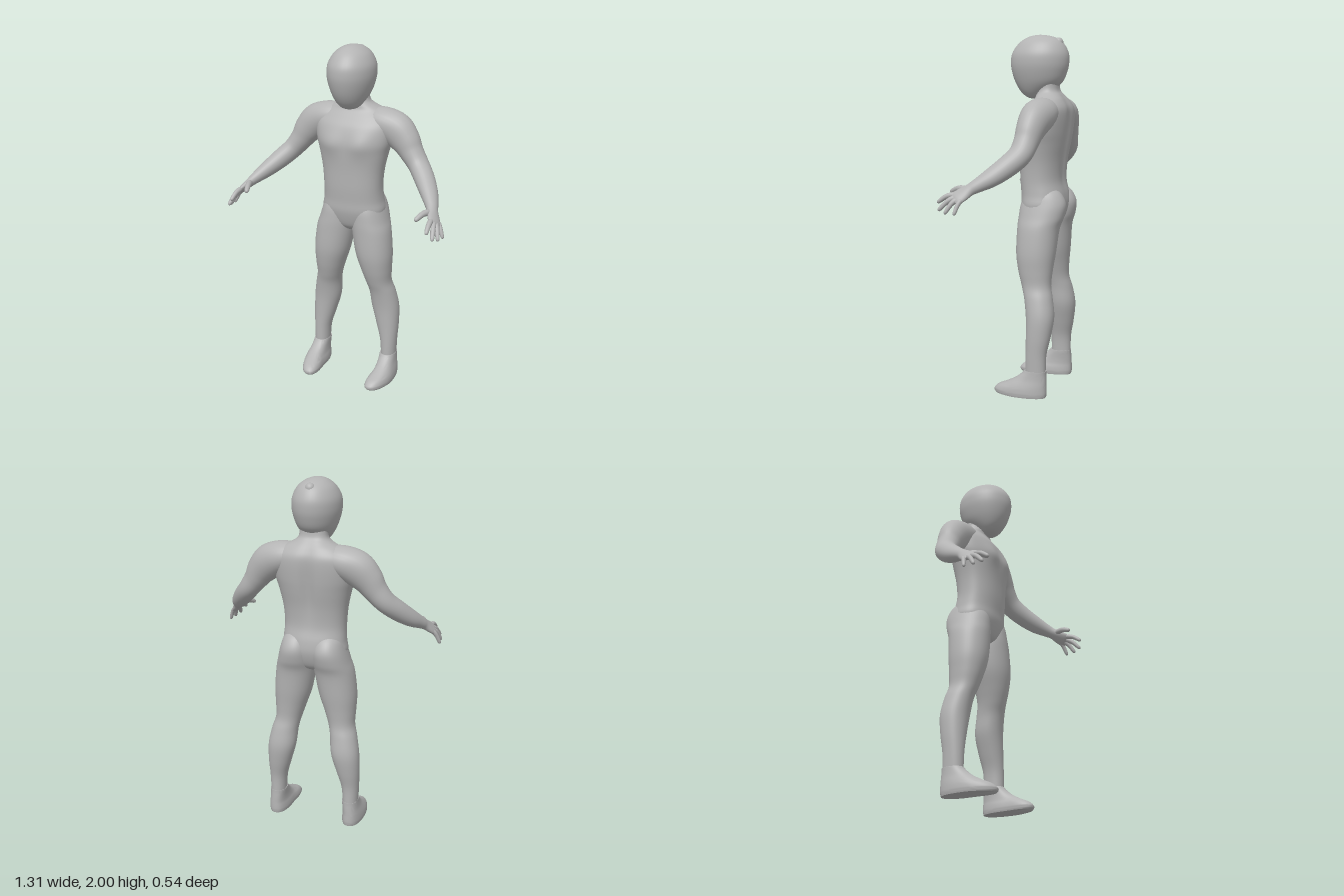
import * as THREE from 'three';
import { toCreasedNormals } from 'three/addons/utils/BufferGeometryUtils.js';

const V = (x, y, z) => new THREE.Vector3(x, y, z);

// Catmull-Rom refinement of a list of parameter rows
function refine(rows, steps) {
  const out = [], n = rows.length;
  const at = (i) => rows[Math.min(n - 1, Math.max(0, i))];
  for (let i = 0; i < n - 1; i++) {
    for (let s = 0; s < steps; s++) {
      const t = s / steps;
      out.push(at(i).map((b, k) => {
        const a = at(i - 1)[k], c = at(i + 1)[k], d = at(i + 2)[k];
        return 0.5 * (2 * b + (c - a) * t + (2 * a - 5 * b + 4 * c - d) * t * t + (3 * b - a - 3 * c + d) * t * t * t);
      }));
    }
  }
  out.push(rows[n - 1].slice());
  return out;
}

// Skin over closed rings, capped at both ends
function loft(rings) {
  const m = rings[0].length, n = rings.length, pos = [], idx = [];
  rings.forEach((r) => r.forEach((p) => pos.push(p.x, p.y, p.z)));
  for (let i = 0; i < n - 1; i++) {
    for (let j = 0; j < m; j++) {
      const a = i * m + j, b = i * m + (j + 1) % m;
      idx.push(a, a + m, b, b, a + m, b + m);
    }
  }
  [rings[0], rings[n - 1]].forEach((r, e) => {
    const c = r.reduce((s, p) => s.add(p), V(0, 0, 0)).divideScalar(m);
    const k = pos.length / 3, o = e * (n - 1) * m;
    pos.push(c.x, c.y, c.z);
    for (let j = 0; j < m; j++) {
      const a = o + j, b = o + (j + 1) % m;
      if (e) idx.push(a, k, b); else idx.push(k, a, b);
    }
  });
  const g = new THREE.BufferGeometry();
  g.setAttribute('position', new THREE.Float32BufferAttribute(pos, 3));
  g.setIndex(idx);
  g.computeVertexNormals();
  return g;
}

// Horizontal sections, bottom to top: [y, right, left, front z, back z]
function stack(rows, { sides = 40, steps = 5, power = 2, shape } = {}) {
  const sp = (c) => Math.sign(c) * Math.abs(c) ** (2 / power);
  return loft(refine(rows, steps).map(([y, x0, x1, f, b]) =>
    Array.from({ length: sides }, (_, j) => {
      const a = (j / sides) * Math.PI * 2;
      const p = V((x0 + x1) / 2 + sp(Math.cos(a)) * (x1 - x0) / 2, y,
        (f + b) / 2 + sp(Math.sin(a)) * (f - b) / 2);
      if (shape) shape(p, Math.sin(a));
      return p;
    })));
}

// Limb sections along a path: [x, y, z, thickness radius, width radius]
function limb(rows, sides = 28, steps = 5) {
  const r = refine(rows, steps), pts = r.map((q) => V(q[0], q[1], q[2]));
  return loft(r.map((q, i) => {
    const t = pts[Math.min(i + 1, r.length - 1)].clone().sub(pts[Math.max(i - 1, 0)]).normalize();
    const w = V(0, 0, 1).addScaledVector(t, -t.z).normalize();
    const u = t.clone().cross(w);
    return Array.from({ length: sides }, (_, j) => {
      const a = (j / sides) * Math.PI * 2;
      return pts[i].clone().addScaledVector(u, Math.cos(a) * q[3]).addScaledVector(w, Math.sin(a) * q[4]);
    });
  }));
}

function mirrored(g) {
  const m = g.clone().scale(-1, 1, 1);
  if (!m.index) m.setIndex([...Array(m.attributes.position.count).keys()]);
  const ix = m.index.array;
  for (let i = 0; i < ix.length; i += 3) [ix[i + 1], ix[i + 2]] = [ix[i + 2], ix[i + 1]];
  const nor = g.attributes.normal.clone();
  for (let i = 0; i < nor.count; i++) nor.setX(i, -nor.getX(i));
  m.setAttribute('normal', nor);
  return m;
}

export function createModel() {
  const model = new THREE.Group();
  const grey = new THREE.MeshStandardMaterial({ color: 0xb4b4b4 });
  grey.name = 'plain grey';
  const add = (name, g) => {
    const mesh = new THREE.Mesh(g, grey);
    mesh.name = name;
    model.add(mesh);
    return mesh;
  };
  const pair = (name, g) => {
    add('left' + name, g);
    add('right' + name, mirrored(g));
  };
  const sym = ([y, rx, f, b]) => [y, -rx, rx, f, b];

  // Head: egg shape tapering to the chin
  add('head', stack([
    [1.65, 0.015, -0.035, -0.065], [1.66, 0.048, -0.008, -0.1], [1.69, 0.077, 0.026, -0.15],
    [1.74, 0.106, 0.056, -0.212], [1.8, 0.126, 0.076, -0.24], [1.85, 0.133, 0.082, -0.25],
    [1.9, 0.128, 0.074, -0.247], [1.95, 0.102, 0.04, -0.222], [1.98, 0.068, 0, -0.185],
    [1.995, 0.035, -0.04, -0.135], [2, 0.006, -0.08, -0.092],
  ].map(sym)));
  const knob = add('crownBump', new THREE.SphereGeometry(0.027, 20, 14));
  knob.position.set(0, 1.957, -0.192);

  // Torso with neck, chest muscles and a spine groove
  const bell = (d, w) => Math.exp(-((d / w) ** 2));
  add('torso', stack([
    [0.935, 0.05, -0.06, -0.16], [0.97, 0.14, -0.025, -0.215], [1.05, 0.186, 0, -0.245],
    [1.12, 0.179, 0.004, -0.243], [1.2, 0.175, 0.01, -0.226], [1.3, 0.183, 0.013, -0.231],
    [1.4, 0.204, 0.018, -0.248], [1.47, 0.224, 0.016, -0.258], [1.55, 0.232, -0.006, -0.264],
    [1.6, 0.215, -0.04, -0.26], [1.64, 0.165, -0.07, -0.24], [1.67, 0.105, -0.075, -0.218],
    [1.7, 0.08, -0.082, -0.197], [1.76, 0.078, -0.09, -0.19],
  ].map(sym), {
    sides: 64, power: 2.3,
    shape: (p, s) => {
      if (s > 0) p.z += s * 0.016 * bell(Math.abs(p.x) - 0.095, 0.07) * bell(p.y - 1.46, 0.065);
      else p.z -= s * 0.02 * bell(p.x, 0.035) * bell(p.y - 1.42, 0.2);
    },
  }));

  // Legs: ankle up to the buttock
  pair('Leg', stack([
    [0.1, 0.182, 0.266, -0.087, -0.198], [0.14, 0.181, 0.268, -0.085, -0.2],
    [0.24, 0.172, 0.272, -0.085, -0.203], [0.34, 0.143, 0.276, -0.084, -0.222],
    [0.45, 0.112, 0.273, -0.079, -0.235], [0.55, 0.102, 0.254, -0.063, -0.221],
    [0.62, 0.086, 0.235, -0.041, -0.206], [0.7, 0.06, 0.237, -0.018, -0.21],
    [0.8, 0.027, 0.24, -0.001, -0.222], [0.93, 0.003, 0.226, 0, -0.236],
    [1, -0.002, 0.206, -0.003, -0.26], [1.07, 0.002, 0.186, -0.012, -0.269],
    [1.13, 0.02, 0.165, -0.04, -0.24], [1.17, 0.05, 0.13, -0.08, -0.19],
  ], { power: 2.15 }));

  // Shoes: flat sole, toe turned slightly inwards
  pair('Shoe', toCreasedNormals(stack([
    [0, 0.17, 0.286, 0.102, -0.203], [0.018, 0.166, 0.29, 0.111, -0.207],
    [0.045, 0.169, 0.288, 0.085, -0.207], [0.068, 0.175, 0.283, 0.035, -0.206],
    [0.1, 0.178, 0.275, -0.025, -0.205], [0.135, 0.177, 0.271, -0.068, -0.203],
    [0.15, 0.177, 0.27, -0.08, -0.203], [0.146, 0.184, 0.264, -0.09, -0.196],
  ], { power: 2.4, steps: 3, shape: (p) => { p.x -= 0.022 * Math.max(0, p.z + 0.03) / 0.13; } }), 0.9));

  // Arms: shoulder to palm in one sweep
  pair('Arm', limb([
    [0.06, 1.585, -0.155, 0.05, 0.06], [0.11, 1.582, -0.153, 0.073, 0.085],
    [0.18, 1.567, -0.15, 0.09, 0.094], [0.25, 1.535, -0.145, 0.098, 0.086],
    [0.305, 1.482, -0.138, 0.085, 0.075], [0.345, 1.425, -0.131, 0.068, 0.067],
    [0.395, 1.362, -0.115, 0.058, 0.064], [0.45, 1.305, -0.066, 0.055, 0.06],
    [0.505, 1.25, 0, 0.046, 0.053], [0.545, 1.21, 0.062, 0.034, 0.039],
    [0.563, 1.19, 0.095, 0.027, 0.034], [0.583, 1.167, 0.127, 0.021, 0.042],
    [0.6, 1.148, 0.155, 0.016, 0.045], [0.609, 1.138, 0.169, 0.008, 0.036],
  ]));

  // Fingers and thumb: [base, tip, radius]
  const digits = [
    ['Thumb', V(0.557, 1.19, 0.12), V(0.517, 1.167, 0.226), 0.016],
    ['IndexFinger', V(0.586, 1.163, 0.172), V(0.596, 1.118, 0.266), 0.0135],
    ['MiddleFinger', V(0.598, 1.15, 0.163), V(0.625, 1.08, 0.248), 0.0135],
    ['RingFinger', V(0.606, 1.142, 0.148), V(0.641, 1.067, 0.205), 0.013],
    ['LittleFinger', V(0.607, 1.142, 0.124), V(0.647, 1.064, 0.15), 0.012],
  ];
  const profile = [[0, 0.8], [0.15, 1.1], [0.5, 1], [0.85, 0.85], [0.96, 0.6], [1, 0.12]];
  digits.forEach(([name, a, b, r]) => {
    pair(name, limb(profile.map(([t, k]) => {
      const p = a.clone().lerp(b, t);
      return [p.x, p.y + 0.012 * Math.sin(Math.PI * t), p.z, r * k, r * k];
    }), 14, 3));
  });

  return model;
}
